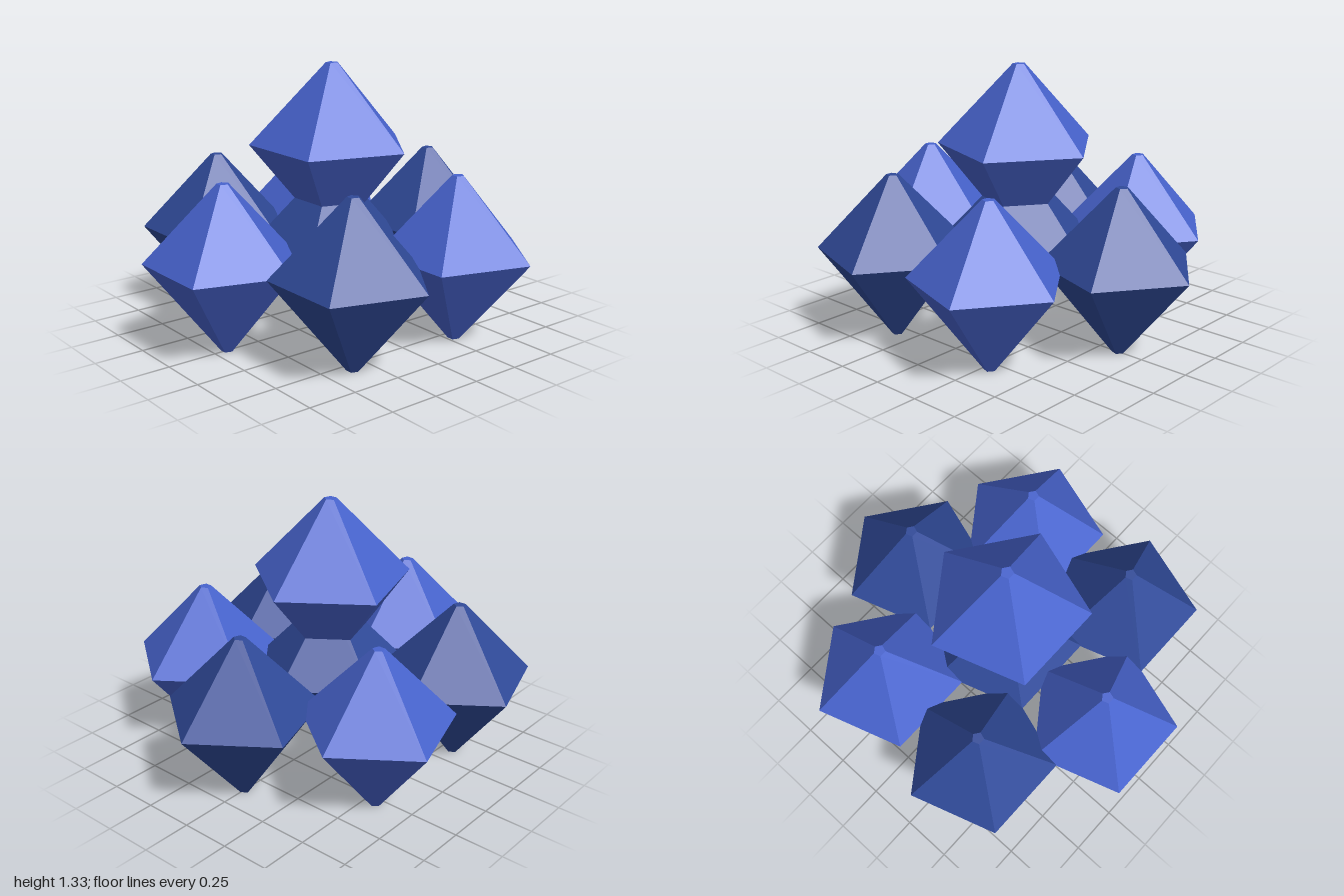
import * as THREE from 'three';

const lightBlue = new THREE.MeshStandardMaterial({ color: 0x4864cf, flatShading: true });
lightBlue.name = 'light blue';
const darkBlue = new THREE.MeshStandardMaterial({ color: 0x304a99, flatShading: true });
darkBlue.name = 'dark blue';

// Five-sided double pyramid with blunt tips, one corner pointing to +x
const gemProfile = [[0, 0], [0.03, 0], [0.39, 0.44], [0.03, 0.826], [0, 0.826]]
  .map(([r, y]) => new THREE.Vector2(r, y));
const gemGeometry = new THREE.LatheGeometry(gemProfile, 5, Math.PI / 2);

function gem(name, material, x, y, z, scale = 1) {
  const mesh = new THREE.Mesh(gemGeometry, material);
  mesh.name = name;
  mesh.position.set(x, y, z);
  mesh.scale.setScalar(scale);
  return mesh;
}

export function createModel() {
  const group = new THREE.Group();
  group.name = 'crystalCluster';
  const centreX = -0.035;
  const ringRadius = 0.645;

  // Ring of six gems in alternating shades
  for (let i = 0; i < 6; i++) {
    const a = (i * Math.PI) / 3;
    group.add(gem(`ringGem${i + 1}`, i % 2 ? lightBlue : darkBlue,
      centreX + ringRadius * Math.cos(a), 0, ringRadius * Math.sin(a)));
  }

  // Middle gem and the larger gem sunk into its tip
  group.add(gem('centreGem', darkBlue, centreX, 0, 0));
  group.add(gem('topGem', lightBlue, centreX, 0.462, 0, 1.055));
  return group;
}
